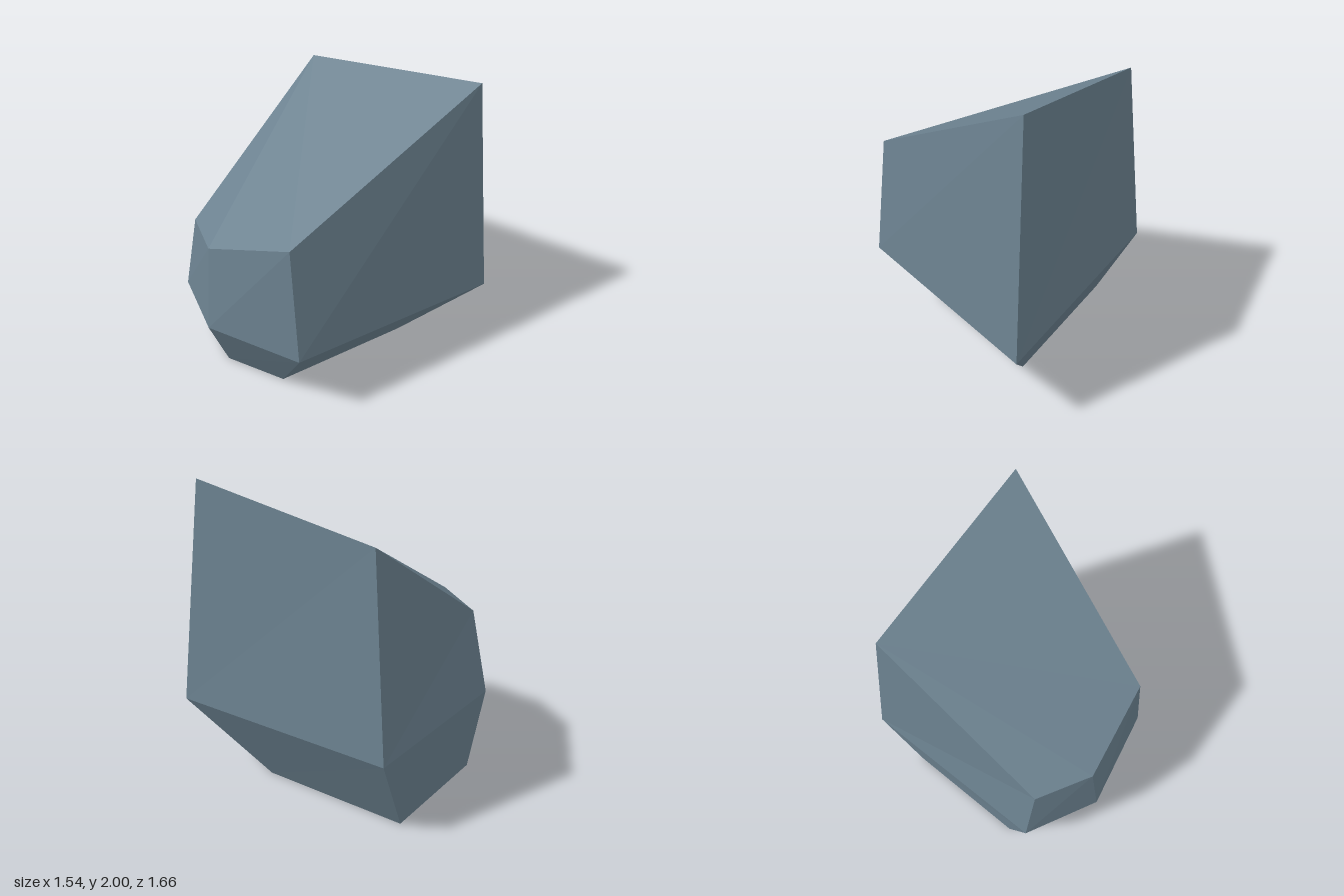
import * as THREE from 'three';

// Five-sided rock built from three rings, each counter-clockwise seen from above
const base = [[-0.69, 0, -0.34], [-0.57, 0, 0.49], [-0.23, 0, 0.6], [0.17, 0, 0.44], [0.32, 0, -0.5]];
const waist = [[-0.77, 0.54, -0.59], [-0.57, 0.505, 0.66], [-0.08, 0.53, 0.83], [0.54, 0.54, 0.6], [0.77, 0.525, -0.83]];
const crown = [[-0.63, 1.795, -0.52], [-0.46, 1.07, 0.62], [-0.11, 1.11, 0.76], [0.445, 1.32, 0.58], [0.625, 2, -0.73]];

function loftRings(rings) {
  const points = [];
  const triangle = (a, b, c) => points.push(...a, ...b, ...c);
  const count = rings[0].length;

  // Side facets
  for (let r = 0; r < rings.length - 1; r++) {
    const low = rings[r], high = rings[r + 1];
    for (let i = 0; i < count; i++) {
      const j = (i + 1) % count;
      triangle(low[i], low[j], high[j]);
      triangle(low[i], high[j], high[i]);
    }
  }

  // Underside and sloping top
  const bottom = rings[0], top = rings[rings.length - 1];
  for (let i = 1; i < count - 1; i++) {
    triangle(bottom[0], bottom[i + 1], bottom[i]);
    triangle(top[0], top[i], top[i + 1]);
  }

  const geometry = new THREE.BufferGeometry();
  geometry.setAttribute('position', new THREE.Float32BufferAttribute(points, 3));
  geometry.computeVertexNormals(); // unshared corners keep the facets flat
  return geometry;
}

export function createModel() {
  const stone = new THREE.MeshStandardMaterial({ color: 0x6b818f });
  stone.name = 'blue grey stone';

  const rock = new THREE.Mesh(loftRings([base, waist, crown]), stone);
  rock.name = 'rock';

  const model = new THREE.Group();
  model.name = 'facetedRock';
  model.add(rock);
  return model;
}
